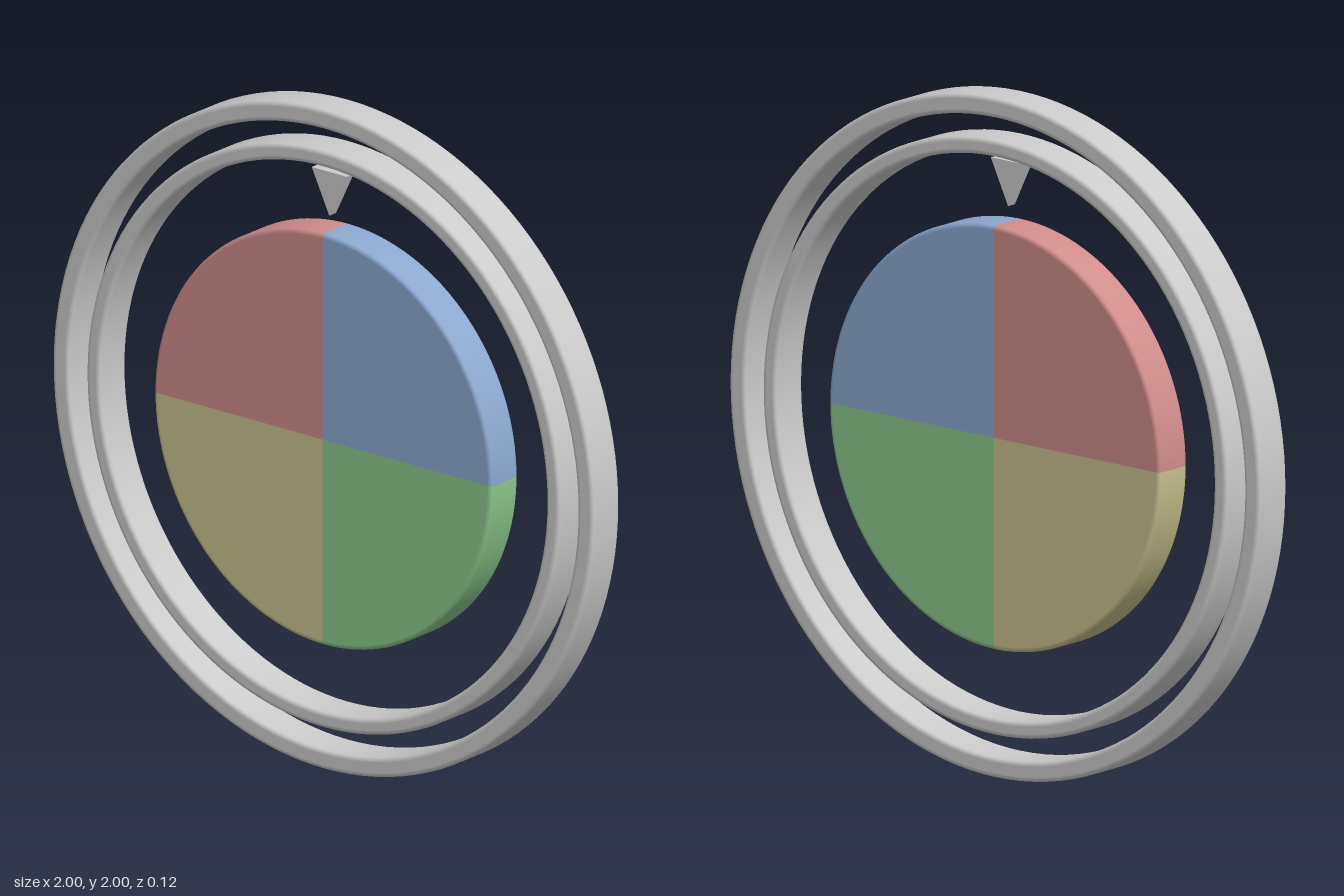
import * as THREE from 'three';

const HALF = 0.06;   // half depth of rings and disc
const ROUND = 0.012; // edge rounding
const GREY = 0xcccccc;

// Rounded corner centred on (cx, cy), with guard points that keep the flats flat
function corner(cx, cy, start) {
  const pts = [];
  const steps = 4, guard = 0.002;
  const at = (a, slide) => new THREE.Vector2(
    cx + ROUND * Math.cos(a) - slide * Math.sin(a),
    cy + ROUND * Math.sin(a) + slide * Math.cos(a));
  pts.push(at(start, -guard));
  for (let i = 0; i <= steps; i++) pts.push(at(start + (i / steps) * Math.PI / 2, 0));
  pts.push(at(start + Math.PI / 2, guard));
  return pts;
}

function addMesh(parent, name, geometry, color) {
  const mesh = new THREE.Mesh(geometry, new THREE.MeshStandardMaterial({ color }));
  mesh.name = name;
  parent.add(mesh);
  return mesh;
}

// Turned part whose axis points along z
function turned(profile, segments, start = 0, length = Math.PI * 2) {
  return new THREE.LatheGeometry(profile, segments, start, length).rotateX(Math.PI / 2);
}

function ring(inner, outer) {
  const y = HALF - ROUND;
  const profile = [
    ...corner(outer - ROUND, -y, -Math.PI / 2),
    ...corner(outer - ROUND, y, 0),
    ...corner(inner + ROUND, y, Math.PI / 2),
    ...corner(inner + ROUND, -y, Math.PI),
  ];
  profile.push(profile[0].clone());
  return turned(profile, 128);
}

export function createModel() {
  const model = new THREE.Group();
  model.name = 'wheel';

  const body = new THREE.Group();
  body.name = 'body';
  body.position.y = 1;
  model.add(body);

  // Two concentric rings
  addMesh(body, 'outerRing', ring(0.94, 1), GREY);
  addMesh(body, 'innerRing', ring(0.825, 0.875), GREY);

  // Disc in four coloured quarters, starting at the bottom and going towards +x
  const radius = 0.624, y = HALF - ROUND;
  const profile = [
    new THREE.Vector2(0, -HALF),
    ...corner(radius - ROUND, -y, -Math.PI / 2),
    ...corner(radius - ROUND, y, 0),
    new THREE.Vector2(0, HALF),
  ];
  const quarters = [
    ['greenQuarter', 0x8cc88c],
    ['blueQuarter', 0x8ca8d0],
    ['redQuarter', 0xd08c8c],
    ['yellowQuarter', 0xc8c08c],
  ];
  const disc = new THREE.Group();
  disc.name = 'disc';
  body.add(disc);
  quarters.forEach(([name, color], i) => {
    addMesh(disc, name, turned(profile, 32, i * Math.PI / 2, Math.PI / 2), color);
  });

  // Pointer above the disc
  const triangle = new THREE.Shape([
    new THREE.Vector2(0, 0.67),
    new THREE.Vector2(0.065, 0.803),
    new THREE.Vector2(-0.065, 0.803),
  ]);
  addMesh(body, 'pointer', new THREE.ExtrudeGeometry(triangle, { depth: 0.03, bevelEnabled: false }), GREY);

  return model;
}
